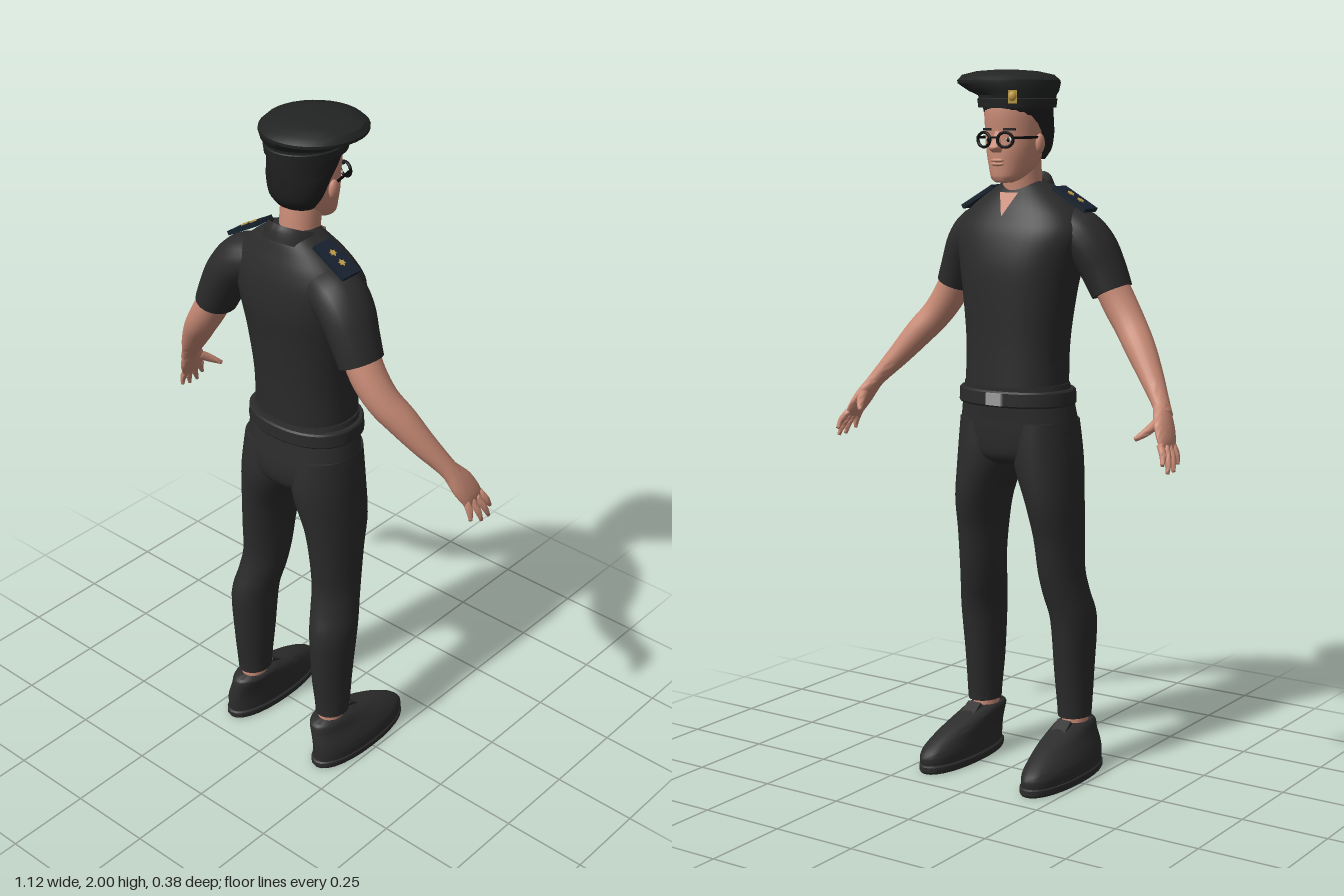
import * as THREE from 'three';
import { toCreasedNormals } from 'three/addons/utils/BufferGeometryUtils.js';

const mat = (name, color, side = THREE.FrontSide) => {
  const m = new THREE.MeshStandardMaterial({ color, side });
  m.name = name;
  return m;
};

// Catmull-Rom refinement of a list of cross-sections
function refine(rings, steps) {
  const out = [];
  const at = (i) => rings[Math.max(0, Math.min(rings.length - 1, i))];
  for (let i = 0; i < rings.length - 1; i++) {
    for (let k = 0; k < steps; k++) {
      const t = k / steps;
      out.push(rings[i].map((b, c) => {
        const a = at(i - 1)[c], d = at(i + 1)[c], e = at(i + 2)[c];
        return b + 0.5 * t * (d - a + t * (2 * a - 5 * b + 4 * d - e + t * (3 * (b - d) + e - a)));
      }));
    }
  }
  out.push(rings[rings.length - 1]);
  return out;
}

// Skin elliptical sections [x, y, z, a, b]; level sections are horizontal, others follow the path
function loft(sections, { level = true, steps = 4, n = 28, p = 1, slope = 0, gap = 0, crease = 0.8 } = {}) {
  const rings = refine(sections, steps), pos = [], idx = [];
  const vec = (r) => new THREE.Vector3(r[0], r[1], r[2]);
  const pw = (v) => Math.sign(v) * Math.abs(v) ** p;
  rings.forEach((r, i) => {
    const T = level ? new THREE.Vector3(0, 1, 0)
      : vec(rings[Math.min(i + 1, rings.length - 1)]).sub(vec(rings[Math.max(i - 1, 0)])).normalize();
    const U = level ? new THREE.Vector3(1, 0, 0)
      : T.clone().cross(new THREE.Vector3(0, 0, 1)).normalize();
    const V = U.clone().cross(T);
    for (let j = 0; j < n; j++) {
      const th = gap ? -Math.PI / 2 + gap + (2 * Math.PI - 2 * gap) * j / (n - 1) : 2 * Math.PI * j / n;
      const v = vec(r).addScaledVector(U, r[3] * pw(Math.cos(th))).addScaledVector(V, r[4] * pw(Math.sin(th)));
      v.y += slope * (v.z - r[2]);
      pos.push(v.x, v.y, v.z);
    }
  });
  const last = (rings.length - 1) * n;
  for (let i = 0; i < last; i += n) {
    for (let j = 0; j < (gap ? n - 1 : n); j++) {
      const a = i + j, b = i + (j + 1) % n;
      idx.push(a, a + n, b, b, a + n, b + n);
    }
  }
  if (!gap) {
    const c = pos.length / 3;
    pos.push(...rings[0].slice(0, 3), ...rings[rings.length - 1].slice(0, 3));
    for (let j = 0; j < n; j++) {
      const k = (j + 1) % n;
      idx.push(c, j, k, c + 1, last + k, last + j);
    }
  }
  const g = new THREE.BufferGeometry();
  g.setAttribute('position', new THREE.Float32BufferAttribute(pos, 3));
  g.setIndex(idx);
  return toCreasedNormals(g, crease);
}

export function createModel() {
  const root = new THREE.Group();
  root.name = 'officer';
  const skin = mat('skin', 0xc98b76, THREE.DoubleSide), cloth = mat('uniform cloth', 0x2b2b2b, THREE.DoubleSide);
  const capCloth = mat('cap cloth', 0x222423), shoeMat = mat('shoe', 0x2d2d2d), hairMat = mat('hair', 0x1f1f1f);
  const navy = mat('navy', 0x17222f), gold = mat('gold', 0xc6a148), silver = mat('silver', 0x9c9c9c);
  const black = mat('black', 0x0d0d0d), white = mat('eye white', 0xd8d4cf);

  const add = (name, geo, material, x = 0, y = 0, z = 0, parent = root) => {
    const m = new THREE.Mesh(geo, material);
    m.name = name;
    m.position.set(x, y, z);
    parent.add(m);
    return m;
  };
  const box = (x, y, z) => new THREE.BoxGeometry(x, y, z);
  const ball = (x, y, z) => new THREE.SphereGeometry(1, 16, 12).scale(x, y, z);
  const flip = (s, rings) => rings.map(([x, ...r]) => [s * x, ...r]);

  // Torso, pelvis and belt
  add('shirt', loft([[0, 1.13, 0.03, 0.15, 0.12], [0, 1.25, 0.035, 0.15, 0.122], [0, 1.38, 0.042, 0.165, 0.13],
    [0, 1.47, 0.05, 0.182, 0.135], [0, 1.55, 0.058, 0.2, 0.125], [0, 1.6, 0.065, 0.18, 0.108],
    [0, 1.64, 0.07, 0.14, 0.09], [0, 1.68, 0.078, 0.085, 0.068], [0, 1.695, 0.078, 0.06, 0.055]], { n: 40, p: 0.88 }), cloth);
  add('pelvis', loft([[0, 0.905, 0.045, 0.09, 0.085], [0, 0.93, 0.046, 0.15, 0.115], [0, 0.98, 0.046, 0.178, 0.124],
    [0, 1.05, 0.04, 0.172, 0.122], [0, 1.135, 0.03, 0.155, 0.118]], { p: 0.9 }), cloth);
  add('belt', loft([[0, 1.075, 0.033, 0.17, 0.128], [0, 1.08, 0.033, 0.173, 0.132], [0, 1.115, 0.033, 0.171, 0.132],
    [0, 1.12, 0.033, 0.167, 0.128]], { steps: 1, n: 40, p: 0.9, crease: 0.6 }), cloth);
  add('buckle', box(0.05, 0.034, 0.012), silver, -0.01, 1.098, -0.101);

  // Collar with an open front
  add('collar', loft([[0, 1.64, 0.065, 0.088, 0.097], [0, 1.668, 0.068, 0.079, 0.088], [0, 1.69, 0.07, 0.067, 0.076],
    [0, 1.675, 0.07, 0.058, 0.064]], { slope: 0.4, gap: 0.3, steps: 2, n: 36 }), cloth);
  const opening = new THREE.BufferGeometry();
  opening.setAttribute('position', new THREE.Float32BufferAttribute(
    [-0.03, 1.665, -0.012, 0.03, 1.665, -0.012, 0, 1.6, -0.052], 3));
  opening.computeVertexNormals();
  add('open neckline', opening, skin);

  // Neck, head and face
  add('neck', loft([[0, 1.6, 0.062, 0.055, 0.055], [0, 1.7, 0.056, 0.055, 0.056], [0, 1.78, 0.045, 0.056, 0.058]]), skin);
  add('head', loft([[0, 1.693, -0.036, 0.022, 0.022], [0, 1.705, -0.022, 0.042, 0.046], [0, 1.74, 0.01, 0.062, 0.081],
    [0, 1.78, 0.02, 0.074, 0.092], [0, 1.82, 0.025, 0.08, 0.095], [0, 1.88, 0.03, 0.085, 0.105],
    [0, 1.93, 0.03, 0.08, 0.1]]), skin);
  add('nose', loft([[0, 1.776, -0.068, 0.013, 0.016], [0, 1.787, -0.073, 0.017, 0.028], [0, 1.808, -0.068, 0.01, 0.02],
    [0, 1.833, -0.064, 0.008, 0.01]], { n: 14, crease: 2 }), skin);
  for (const y of [1.744, 1.754]) add('lip', ball(0.021, 0.006, 0.009), skin, 0, y, -0.069);
  add('hair', loft([[0, 1.755, 0.072, 0.058, 0.042], [0, 1.785, 0.07, 0.077, 0.066], [0, 1.83, 0.06, 0.088, 0.083],
    [0, 1.86, 0.045, 0.09, 0.1], [0, 1.9, 0.034, 0.092, 0.11], [0, 1.93, 0.034, 0.09, 0.108]]), hairMat);

  // Peaked crown leaning to one side, on a double band
  const cap = new THREE.Group();
  cap.name = 'cap';
  root.add(cap);
  add('cap crown', loft([[0, 1.9, 0.03, 0.1, 0.116], [0, 1.93, 0.03, 0.103, 0.12], [0.014, 1.942, 0.034, 0.121, 0.134],
    [0.032, 1.963, 0.037, 0.142, 0.146], [0.033, 1.971, 0.037, 0.142, 0.146], [0.035, 1.986, 0.037, 0.128, 0.128],
    [0.038, 1.996, 0.036, 0.085, 0.085], [0.04, 2, 0.035, 0.03, 0.03]], { steps: 1, n: 32, crease: 0.6 }), capCloth, 0, 0, 0, cap);
  add('cap band', loft([[0, 1.897, 0.03, 0.103, 0.119], [0, 1.92, 0.03, 0.106, 0.122], [0, 1.923, 0.03, 0.102, 0.118]],
    { steps: 1, n: 32, crease: 0.6 }), capCloth, 0, 0, 0, cap);
  const badge = new THREE.Group();
  badge.name = 'cap badge';
  badge.position.set(-0.055, 1.925, -0.078);
  badge.rotation.y = Math.atan2(-5.2, -7.6);
  cap.add(badge);
  add('badge plate', box(0.024, 0.036, 0.014), gold, 0, 0, 0, badge);
  add('badge boss', ball(0.011, 0.013, 0.007), gold, 0, 0.002, 0.008, badge);

  // Glasses bridge
  add('glasses bridge', box(0.026, 0.005, 0.005), black, 0, 1.816, -0.087);

  const star = new THREE.Shape();
  for (let i = 0; i < 12; i++) {
    const r = i % 2 ? 0.006 : 0.011, a = i * Math.PI / 6;
    star[i ? 'lineTo' : 'moveTo'](r * Math.cos(a), r * Math.sin(a));
  }
  const starGeo = new THREE.ExtrudeGeometry(star, { depth: 0.004, bevelEnabled: false }).rotateX(-Math.PI / 2);

  for (const s of [1, -1]) {
    const side = s > 0 ? 'left' : 'right';
    const part = (name, rings, material, opts) => add(`${side} ${name}`, loft(flip(s, rings), opts), material);
    const limb = { level: false, n: 20 };

    // Face details
    add(`${side} ear`, ball(0.011, 0.027, 0.017), skin, s * 0.083, 1.8, 0.018);
    add(`${side} eye`, ball(0.013, 0.007, 0.006), white, s * 0.033, 1.81, -0.06);
    add(`${side} pupil`, ball(0.005, 0.006, 0.003), black, s * 0.033, 1.81, -0.065);
    add(`${side} eyebrow`, box(0.034, 0.006, 0.008), hairMat, s * 0.035, 1.838, -0.062).rotation.y = s * -0.3;
    add(`${side} lens rim`, new THREE.TorusGeometry(0.021, 0.0042, 8, 24).scale(1.1, 0.95, 1), black,
      s * 0.035, 1.81, -0.083).rotation.y = s * -0.2;
    add(`${side} temple arm`, box(0.004, 0.007, 0.1), black, s * 0.073, 1.816, -0.03).rotation.y = s * 0.26;

    // Sleeve, arm and hand
    part('sleeve', [[0.12, 1.57, 0.085, 0.06, 0.075], [0.165, 1.55, 0.092, 0.07, 0.083], [0.205, 1.51, 0.1, 0.066, 0.082],
      [0.235, 1.455, 0.107, 0.06, 0.075], [0.262, 1.395, 0.11, 0.055, 0.068]], cloth, limb);
    part('arm', [[0.24, 1.45, 0.107, 0.045, 0.055], [0.285, 1.365, 0.11, 0.047, 0.052], [0.33, 1.3, 0.1, 0.044, 0.048],
      [0.375, 1.245, 0.075, 0.041, 0.045], [0.425, 1.18, 0.045, 0.033, 0.037], [0.475, 1.115, 0.01, 0.023, 0.029],
      [0.495, 1.085, -0.005, 0.02, 0.03]], skin, limb);
    part('palm', [[0.482, 1.105, 0.004, 0.02, 0.027], [0.505, 1.06, -0.022, 0.019, 0.041],
      [0.523, 1.022, -0.042, 0.014, 0.041], [0.531, 0.998, -0.049, 0.008, 0.036]], skin, limb);
    const fingers = [['index finger', [0.525, 1.015, -0.077], [0.546, 0.965, -0.103]],
      ['middle finger', [0.53, 1.01, -0.058], [0.554, 0.943, -0.088]],
      ['ring finger', [0.529, 1.01, -0.038], [0.554, 0.943, -0.056]],
      ['little finger', [0.525, 1.015, -0.018], [0.546, 0.957, -0.018]],
      ['thumb', [0.495, 1.07, -0.04], [0.462, 1.028, -0.102]]];
    for (const [name, a, b] of fingers) {
      const r = name === 'thumb' ? 0.013 : 0.01;
      const mid = a.map((v, i) => (v + b[i]) / 2 + (i === 0 ? 0.005 : 0));
      part(name, [[...a, r, r], [...mid, r * 0.95, r * 0.95], [...b, r * 0.5, r * 0.5]], skin, { level: false, n: 10, crease: 1.8 });
    }

    // Shoulder board with two stars
    const board = new THREE.Group();
    board.name = `${side} shoulder board`;
    board.position.set(s * 0.153, 1.647, 0.086);
    board.rotation.z = -s * 0.52;
    root.add(board);
    add('board', box(0.12, 0.012, 0.065), navy, 0, 0, 0, board);
    for (const x of [-0.018, 0.018]) add('star', starGeo, gold, x, 0.0055, 0, board);

    // Trouser leg, ankle and shoe
    part('trouser leg', [[0.157, 0.165, 0.095, 0.046, 0.055], [0.157, 0.2, 0.095, 0.048, 0.058],
      [0.155, 0.3, 0.095, 0.053, 0.07], [0.155, 0.45, 0.09, 0.06, 0.083], [0.143, 0.53, 0.07, 0.061, 0.083],
      [0.135, 0.6, 0.055, 0.06, 0.085], [0.13, 0.7, 0.05, 0.063, 0.096], [0.12, 0.8, 0.043, 0.071, 0.112],
      [0.095, 0.92, 0.047, 0.09, 0.122], [0.09, 1.03, 0.044, 0.085, 0.113]], cloth);
    part('ankle', [[0.156, 0.09, 0.1, 0.037, 0.045], [0.156, 0.2, 0.1, 0.036, 0.04]], skin);
    part('shoe', [[0.175, 0.015, 0, 0.062, 0.184], [0.175, 0.05, 0, 0.064, 0.186], [0.171, 0.08, 0.018, 0.059, 0.168],
      [0.163, 0.11, 0.048, 0.053, 0.135], [0.157, 0.138, 0.09, 0.048, 0.09], [0.156, 0.148, 0.1, 0.042, 0.07]], shoeMat, { p: 0.92 });
    part('sole', [[0.174, 0, 0, 0.064, 0.187], [0.174, 0.006, 0, 0.067, 0.191], [0.174, 0.02, 0, 0.067, 0.191],
      [0.174, 0.024, 0, 0.063, 0.186]], shoeMat, { steps: 1, p: 0.92, crease: 0.5 });
    add(`${side} shoe tongue`, box(0.045, 0.012, 0.05), shoeMat, s * 0.157, 0.142, 0.022).rotation.x = -0.6;
  }
  return root;
}
